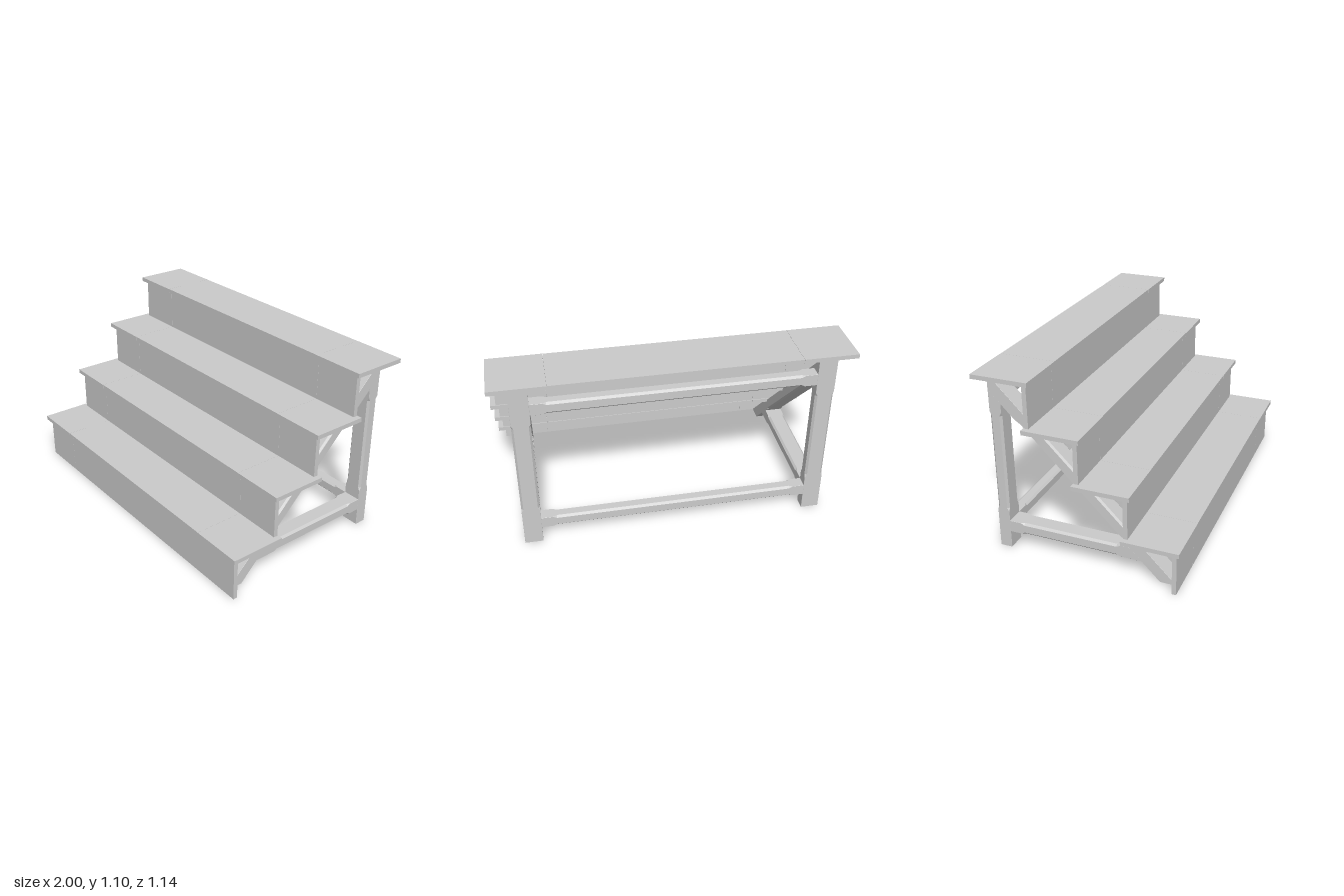
import * as THREE from 'three';

const material = new THREE.MeshStandardMaterial({ color: 0xcccccc, flatShading: true });

function add(parent, name, geometry, x = 0, y = 0, z = 0) {
  const mesh = new THREE.Mesh(geometry, material);
  mesh.name = name;
  mesh.position.set(x, y, z);
  parent.add(mesh);
  return mesh;
}

// Timber running along y with stopped chamfers between c0 and c1.
// topSlope mitres the upper end; shear leans the whole timber in z.
function timber(w, d, y0, y1, c0, c1, { topSlope = 0, shear = 0 } = {}) {
  const chamfer = 0.012, sharp = 0.001, run = 0.02;
  const stations = [[y0, sharp], [c0, sharp], [c0 + run, chamfer], [c1 - run, chamfer], [c1, sharp], [y1, sharp]];
  const rings = stations.map(([y, c], i) => {
    const a = w / 2, b = d / 2;
    const section = [
      [-a + c, b], [a - c, b], [a, b - c], [a, -b + c],
      [a - c, -b], [-a + c, -b], [-a, -b + c], [-a, b - c],
    ];
    return section.map(([x, z]) => {
      const h = y + (i === stations.length - 1 ? topSlope * z : 0);
      return [x, h, z + shear * h];
    });
  });
  const position = [];
  const tri = (...points) => points.forEach((p) => position.push(...p));
  for (let r = 0; r < rings.length - 1; r++) {
    for (let i = 0; i < 8; i++) {
      const j = (i + 1) % 8;
      tri(rings[r][i], rings[r][j], rings[r + 1][j]);
      tri(rings[r][i], rings[r + 1][j], rings[r + 1][i]);
    }
  }
  const bottom = rings[0], top = rings[rings.length - 1];
  for (let i = 1; i < 7; i++) {
    tri(bottom[0], bottom[i + 1], bottom[i]);
    tri(top[0], top[i], top[i + 1]);
  }
  const geometry = new THREE.BufferGeometry();
  geometry.setAttribute('position', new THREE.Float32BufferAttribute(position, 3));
  geometry.computeVertexNormals();
  return geometry;
}

export function createModel() {
  const model = new THREE.Group();
  model.name = 'steppedStand';

  const rise = 0.272, going = 0.272, board = 0.025;
  const seam = 0.69, treadEnd = 1, riserEnd = 0.97;

  // Four steps: each tread and riser is a long middle board with two end boards
  for (let i = 0; i < 4; i++) {
    const step = new THREE.Group();
    step.name = 'step' + (i + 1);
    step.position.set(0, i * rise, -i * going);
    model.add(step);

    const riserBottom = i === 0 ? 0 : 0.279 - rise;
    const riserHeight = 0.254 - riserBottom;
    const riserY = riserBottom + riserHeight / 2;
    add(step, 'middleTread', new THREE.BoxGeometry(2 * seam - 0.002, board - 0.004, 0.323), 0, 0.2685, 0.4075);
    add(step, 'middleRiser', new THREE.BoxGeometry(2 * seam - 0.002, riserHeight + 0.004, board), 0, riserY + 0.002, 0.535);
    for (const s of [-1, 1]) {
      add(step, 'endTread', new THREE.BoxGeometry(treadEnd - seam, board, 0.325), s * (treadEnd + seam) / 2, 0.2665, 0.4075);
      add(step, 'endRiser', new THREE.BoxGeometry(riserEnd - seam, riserHeight, board), s * (riserEnd + seam) / 2, riserY, 0.535);
    }
  }

  // Side frames: sloping stringer, rear post and low side rail
  const frameX = 0.842, width = 0.106, depth = 0.07, backZ = -0.505;
  for (const s of [-1, 1]) {
    const frame = new THREE.Group();
    frame.name = s > 0 ? 'leftFrame' : 'rightFrame';
    frame.position.x = s * frameX;
    model.add(frame);
    add(frame, 'stringer', timber(width, 0.095, 0, 1.017, 0.2, 0.82, { topSlope: 1, shear: -1 }), 0, 0, 0.477);
    add(frame, 'rearPost', timber(width, depth, 0, 0.935, 0.235, 0.845, { topSlope: -1 }), 0, 0, backZ);
    add(frame, 'sideRail', timber(width, depth, -0.47, 0.29, -0.4, 0.2, { topSlope: 1 }), 0, 0.14, 0)
      .rotation.x = Math.PI / 2;
  }

  // Back rails between the posts
  const span = frameX - width / 2;
  for (const [name, y] of [['lowerBackRail', 0.14], ['upperBackRail', 0.935]]) {
    add(model, name, timber(depth, depth, -span, span, -span + 0.07, span - 0.07), 0, y, backZ)
      .rotation.z = Math.PI / 2;
  }

  return model;
}
